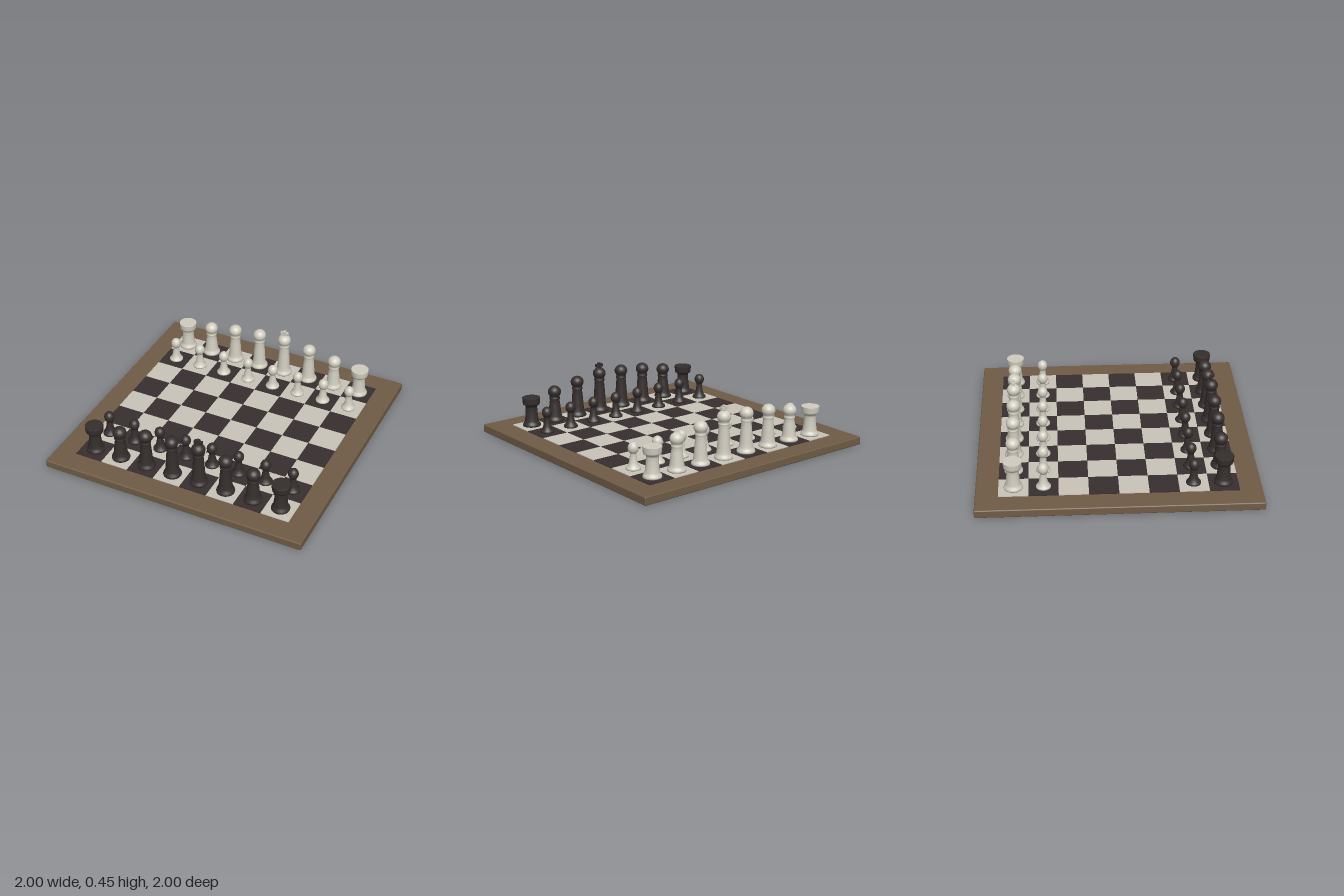
import * as THREE from 'three';
import { RoundedBoxGeometry } from 'three/addons/geometries/RoundedBoxGeometry.js';

const CELL = 0.21;
const TOP = 0.065; // playing surface height

function material(name, color) {
  const m = new THREE.MeshStandardMaterial({ color });
  m.name = name;
  return m;
}

// Smooth turned shape from [radius, height] pairs
function turned(points) {
  return new THREE.LatheGeometry(points.map(([r, y]) => new THREE.Vector2(r, y)), 28);
}

// Rounded head as the upper end of a profile, closed at the axis
function head(radius, halfHeight, centreY, startAngle) {
  const pts = [];
  for (let i = 0; i <= 10; i++) {
    const a = THREE.MathUtils.lerp(startAngle, Math.PI / 2, i / 10);
    pts.push([i === 10 ? 0 : radius * Math.cos(a), centreY + halfHeight * Math.sin(a)]);
  }
  return pts;
}

// Foot shared by the large pieces
const foot = [[0, 0], [0.066, 0], [0.067, 0.008], [0.064, 0.018], [0.056, 0.028], [0.052, 0.04]];

// Large piece with a waisted body and ovoid head
function tallPiece(height) {
  const c = height - 0.046;
  return turned([
    ...foot,
    [0.047, 0.075], [0.041, c * 0.58], [0.036, c - 0.065],
    [0.041, c - 0.052], [0.041, c - 0.046], [0.036, c - 0.038],
    ...head(0.05, 0.046, c, -0.65),
  ]);
}

function rookShape() {
  return turned([
    ...foot,
    [0.048, 0.07], [0.044, 0.11], [0.043, 0.145], [0.046, 0.158],
    [0.062, 0.168], [0.064, 0.178], [0.067, 0.218], [0.066, 0.22], [0.064, 0.22], [0, 0.22],
  ]);
}

function pawnShape() {
  return turned([
    [0, 0], [0.052, 0], [0.053, 0.007], [0.049, 0.015], [0.038, 0.026],
    [0.03, 0.05], [0.024, 0.085], [0.022, 0.11],
    ...head(0.038, 0.043, 0.15, -0.9),
  ]);
}

export function createModel() {
  const model = new THREE.Group();
  model.name = 'chessSet';

  const wood = material('wood', 0x705c46);
  const lightSquare = material('light square', 0xc9c4b8);
  const darkSquare = material('dark square', 0x382f2f);
  const lightPiece = material('light piece', 0xd0ccbf);
  const darkPiece = material('dark piece', 0x352e2d);

  const add = (parent, name, geometry, mat, x, y, z) => {
    const mesh = new THREE.Mesh(geometry, mat);
    mesh.name = name;
    mesh.position.set(x, y, z);
    parent.add(mesh);
    return mesh;
  };

  // Board slab
  add(model, 'board', new RoundedBoxGeometry(2, 0.06, 2, 2, 0.008), wood, 0, 0.03, 0);

  // Checkered squares
  const squares = new THREE.Group();
  squares.name = 'squares';
  model.add(squares);
  const squareGeo = new THREE.BoxGeometry(CELL - 0.0005, 0.008, CELL - 0.0005);
  const at = (i) => (i - 3.5) * CELL;
  for (let row = 0; row < 8; row++) {
    for (let col = 0; col < 8; col++) {
      const light = (row + col) % 2 === 0;
      add(squares, light ? 'lightSquare' : 'darkSquare', squareGeo,
        light ? lightSquare : darkSquare, at(col), TOP - 0.004, at(row));
    }
  }

  // Piece shapes
  const shapes = {
    rook: rookShape(),
    knight: tallPiece(0.272),
    bishop: tallPiece(0.312),
    queen: tallPiece(0.331),
    king: tallPiece(0.345),
    pawn: pawnShape(),
  };
  const order = ['rook', 'knight', 'bishop', 'queen', 'king', 'bishop', 'knight', 'rook'];
  const stemGeo = new THREE.BoxGeometry(0.024, 0.05, 0.024);
  const barGeo = new THREE.BoxGeometry(0.06, 0.022, 0.024);

  // Two armies, light at the back and dark at the front
  for (const [side, mat, backRow, pawnRow] of [
    ['light', lightPiece, 0, 1],
    ['dark', darkPiece, 7, 6],
  ]) {
    const army = new THREE.Group();
    army.name = side + 'Pieces';
    model.add(army);
    order.forEach((kind, col) => {
      const piece = add(army, kind, shapes[kind], mat, at(col), TOP, at(backRow));
      if (kind === 'king') {
        // Cross on the crown
        add(piece, 'crossStem', stemGeo, mat, 0, 0.357, 0);
        add(piece, 'crossBar', barGeo, mat, 0, 0.361, 0);
      }
      add(army, 'pawn', shapes.pawn, mat, at(col), TOP, at(pawnRow));
    });
  }

  return model;
}
